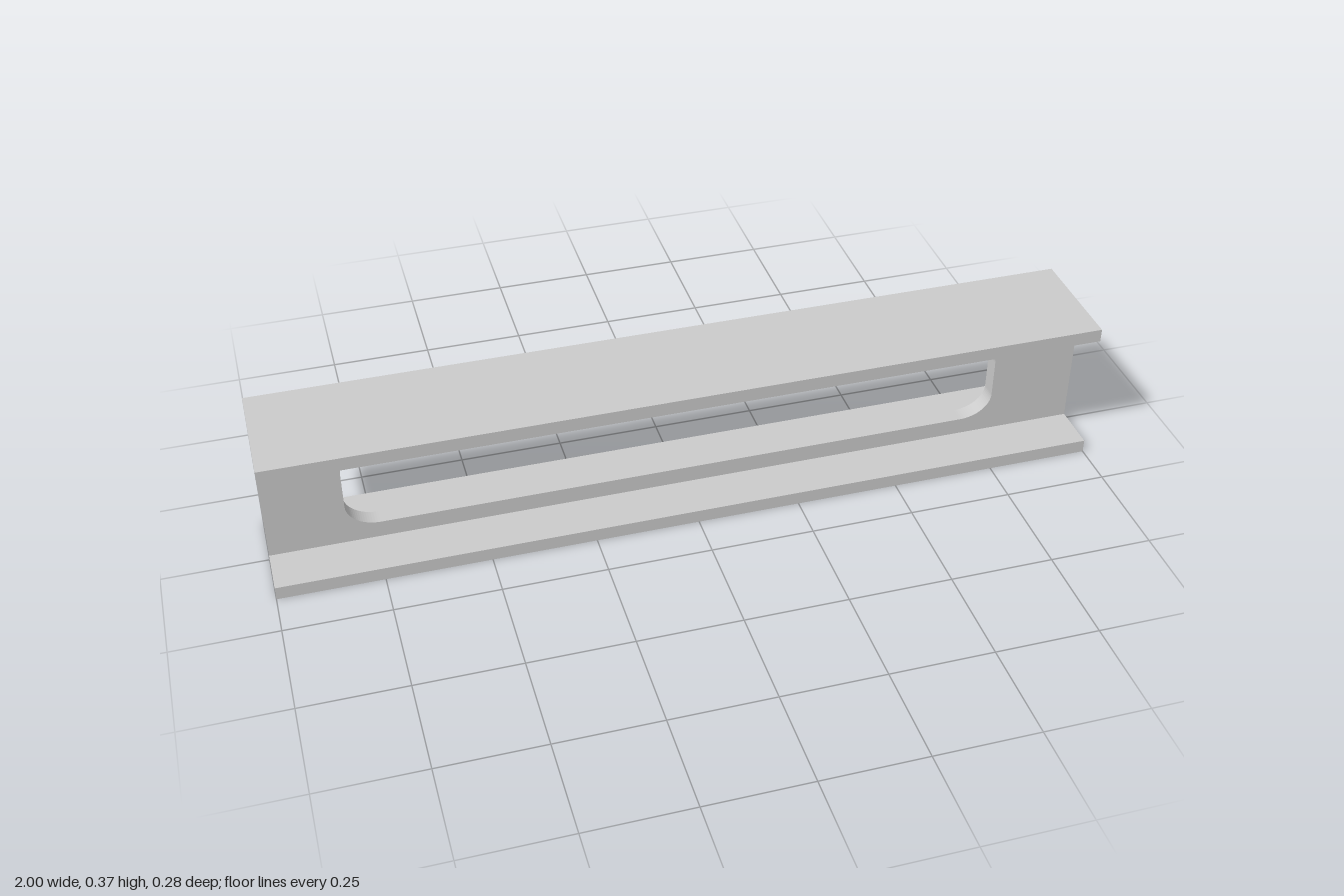
import * as THREE from 'three';

const material = new THREE.MeshStandardMaterial({ color: 0xcccccc });

const LENGTH = 2, DEPTH = 0.284, HEIGHT = 0.366, FLANGE = 0.033;

// Rounded slot outline with elliptical corners
function slotPath(x0, x1, y0, y1, rx, ry) {
  const p = new THREE.Path();
  p.moveTo(x0 + rx, y0);
  p.lineTo(x1 - rx, y0);
  p.absellipse(x1 - rx, y0 + ry, rx, ry, -Math.PI / 2, 0);
  p.lineTo(x1, y1 - ry);
  p.absellipse(x1 - rx, y1 - ry, rx, ry, 0, Math.PI / 2);
  p.lineTo(x0 + rx, y1);
  p.absellipse(x0 + rx, y1 - ry, rx, ry, Math.PI / 2, Math.PI);
  p.lineTo(x0, y0 + ry);
  p.absellipse(x0 + rx, y0 + ry, rx, ry, Math.PI, Math.PI * 1.5);
  return p;
}

export function createModel() {
  const group = new THREE.Group();
  group.name = 'slottedBeam';

  // Flat plates along the bottom and top
  for (const [name, y] of [['bottomFlange', FLANGE / 2], ['topFlange', HEIGHT - FLANGE / 2]]) {
    const flange = new THREE.Mesh(new THREE.BoxGeometry(LENGTH, FLANGE, DEPTH), material);
    flange.name = name;
    flange.position.y = y;
    group.add(flange);
  }

  // Upright web, slightly forward of centre, with one long slot
  const shape = new THREE.Shape();
  shape.moveTo(-1, FLANGE);
  shape.lineTo(1, FLANGE);
  shape.lineTo(1, HEIGHT - FLANGE);
  shape.lineTo(-1, HEIGHT - FLANGE);
  shape.closePath();
  shape.holes.push(slotPath(-0.815, 0.79, 0.075, 0.293, 0.078, 0.062));
  const web = new THREE.Mesh(
    new THREE.ExtrudeGeometry(shape, { depth: 0.04, bevelEnabled: false, curveSegments: 10 }),
    material
  );
  web.name = 'web';
  web.position.z = -0.015;
  group.add(web);

  return group;
}
